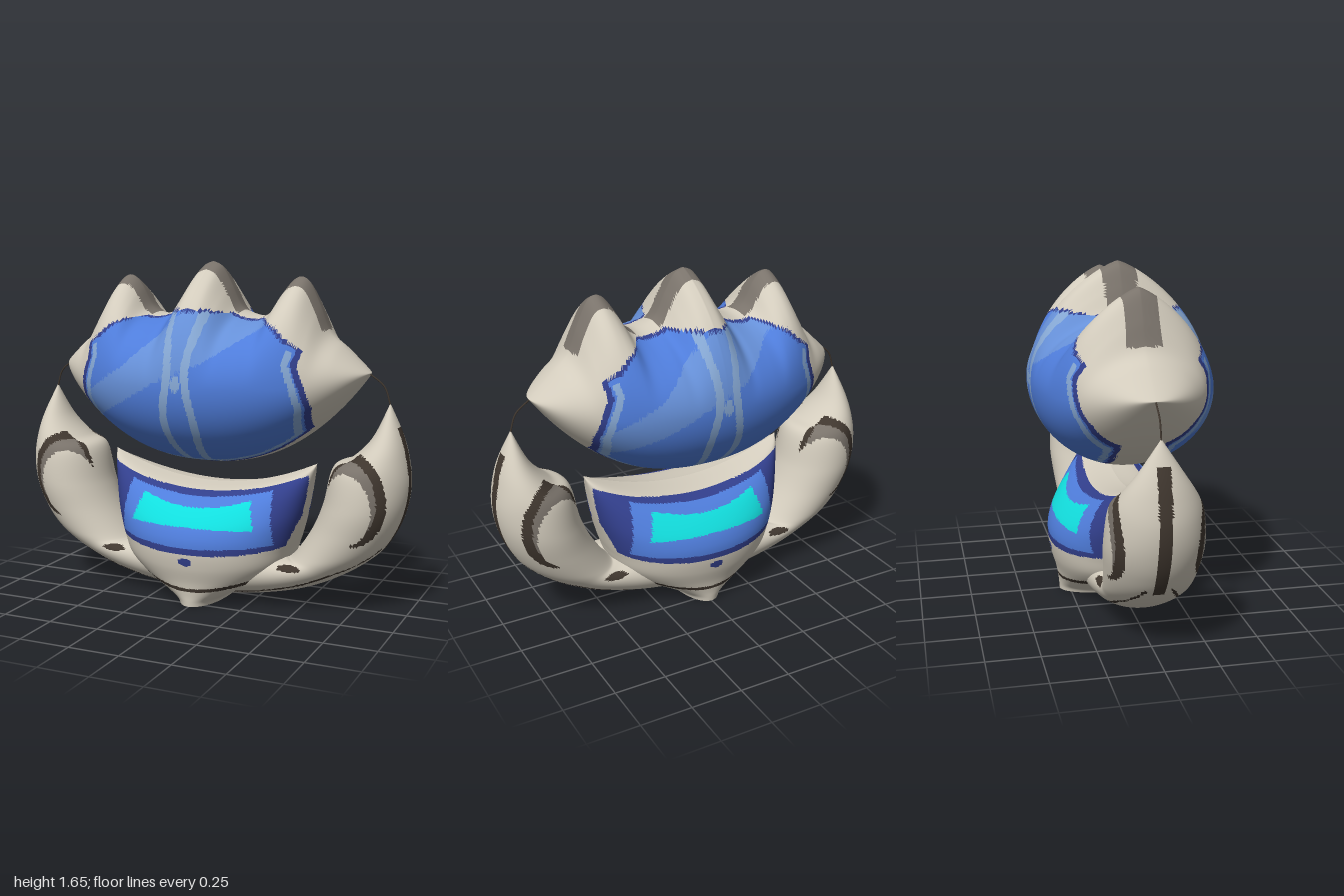
import * as THREE from 'three';

const COLORS = {
  cream: 0xd3ccbd, brown: 0x40372f, taupe: 0x7a736b, blue: 0x4f7ddb,
  skyBlue: 0x6690d8, paleBlue: 0x86a8d4, navy: 0x323f8c, cyan: 0x12dede,
};
const NAMES = Object.keys(COLORS);
const { abs, sin, cos, sign, PI } = Math;
const power = (v, e) => sign(v) * Math.pow(abs(v), e);
const inOval = (x, y, cx, cy, rx, ry) => ((x - cx) / rx) ** 2 + ((y - cy) / ry) ** 2 < 1;

// Smooth interpolation through rows of numbers, t from 0 to 1
function spline(rows, t) {
  const n = rows.length - 1, f = Math.min(t * n, n - 1e-9), i = Math.floor(f), s = f - i;
  const at = (j, k) => rows[Math.max(0, Math.min(n, i + j))][k];
  return rows[0].map((_, k) => {
    const a = at(-1, k), b = at(0, k), c = at(1, k), d = at(2, k);
    return b + 0.5 * s * (c - a + s * (2 * a - 5 * b + 4 * c - d + s * (3 * (b - c) + d - a)));
  });
}

// Piecewise linear lookup in a table of [key, value]
function lookup(table, key) {
  for (let i = 1; i < table.length; i++) {
    const [k0, v0] = table[i - 1], [k1, v1] = table[i];
    if (key <= k1) return v0 + (v1 - v0) * Math.max(0, (key - k0) / (k1 - k0));
  }
  return table[table.length - 1][1];
}

// Skin over closed rings; paint(x, y, z) names the colour of each face
function loft(name, materials, nu, nv, point, paint) {
  const pos = [], buckets = NAMES.map(() => []);
  for (let i = 0; i <= nu; i++)
    for (let j = 0; j < nv; j++) pos.push(...point(i / nu, (j / nv) * 2 * PI));
  const mid = (ids, k) => ids.reduce((sum, v) => sum + pos[v * 3 + k], 0) / ids.length;
  for (let i = 0; i < nu; i++)
    for (let j = 0; j < nv; j++) {
      const k = (j + 1) % nv;
      const a = i * nv + j, b = a + nv, c = (i + 1) * nv + k, d = i * nv + k;
      for (const tri of [[a, b, c], [a, c, d]]) {
        const color = paint(mid(tri, 0), mid(tri, 1), mid(tri, 2));
        buckets[NAMES.indexOf(color)].push(...tri);
      }
    }
  const geo = new THREE.BufferGeometry();
  geo.setAttribute('position', new THREE.Float32BufferAttribute(pos, 3));
  geo.setIndex(buckets.flat());
  let start = 0;
  buckets.forEach((b, m) => {
    if (b.length) geo.addGroup(start, b.length, m);
    start += b.length;
  });
  geo.computeVertexNormals();
  const mesh = new THREE.Mesh(geo, materials);
  mesh.name = name;
  return mesh;
}

// Upper shell: x, top edge, roundness of the section
const SHELL = [
  [0, 1.655, 1.6], [0.05, 1.63, 1.6], [0.1, 1.545, 1.55], [0.15, 1.445, 1.4], [0.2, 1.41, 1.15],
  [0.27, 1.4, 1.1], [0.33, 1.435, 1.3], [0.38, 1.525, 1.5], [0.42, 1.573, 1.6], [0.46, 1.585, 1.6],
  [0.5, 1.555, 1.6], [0.55, 1.45, 1.5], [0.6, 1.33, 1.3], [0.67, 1.265, 1.2], [0.74, 1.2, 1.2], [0.8, 1.145, 1.2],
];
// Half-width of the blue dome by height
const DOME = [
  [0.6, 0.5], [0.85, 0.55], [0.92, 0.57], [1, 0.59], [1.1, 0.57], [1.2, 0.535], [1.26, 0.55],
  [1.3, 0.49], [1.36, 0.42], [1.385, 0.36], [1.4, 0.26], [1.42, 0.13], [1.435, 0.08], [1.44, -1],
];

function shellPoint(u, angle) {
  const side = u < 0.5 ? -1 : 1;
  const [x, top, e] = spline(SHELL, abs(u * 2 - 1));
  const r = Math.min(1, x / 0.8);
  const mid = 1.08 + 0.065 * r ** 3, bottom = 0.68 + 0.465 * r ** 2.38;
  const depth = 0.44 * (1 - r * r) ** 0.6, s = sin(angle), c = cos(angle);
  const y = mid + s * (s > 0 ? top - mid : mid - bottom);
  return [side * x, y, depth * power(c, s > 0 ? e : 1)];
}

function shellPaint(x, y, z) {
  const ax = abs(x), az = abs(z), s = x * (z < 0 ? -1 : 1);
  const edge = Math.min(lookup(DOME, y) - ax, az - 0.1);
  if (edge < 0) {
    const onBump = ax < 0.17 || (ax > 0.29 && ax < 0.6);
    return onBump && y > 1.34 && az < 0.08 ? 'taupe' : 'cream';
  }
  if (edge < 0.025 || y > 1.425) return 'navy';
  if (edge > 0.035 && edge < 0.065 && y < 1.26) return 'paleBlue';
  const wave = 0.06 + 0.015 * cos((y - 0.9) * 12);
  if (abs(ax - wave) < 0.02 || inOval(x, y, 0, 1.1, 0.025, 0.035)) return 'paleBlue';
  const low = lookup([[-0.55, 0.88], [-0.3, 1], [-0.1, 1.11], [0.12, 1.2], [0.37, 1.38]], s);
  const high = lookup([[-0.55, 1.02], [-0.3, 1.17], [-0.1, 1.36], [0, 1.45]], s);
  return y > low && y < high ? 'skyBlue' : 'blue';
}

// Crescent with raised arms: outer x, y, inner x, y, half depth
const ARM = [
  [0.895, 1.01, 0.894, 1.01, 0], [0.955, 0.87, 0.82, 0.85, 0.1], [0.985, 0.76, 0.725, 0.75, 0.17],
  [1, 0.64, 0.635, 0.7, 0.21], [0.985, 0.52, 0.59, 0.52, 0.225], [0.94, 0.4, 0.53, 0.38, 0.215],
  [0.86, 0.29, 0.44, 0.25, 0.2], [0.7, 0.175, 0.4, 0.25, 0.19], [0.5, 0.085, 0.3, 0.28, 0.2],
  [0.25, 0.03, 0.15, 0.3, 0.22],
];
const CRESCENT = [
  ...ARM.map(([a, b, c, d, e]) => [-a, b, -c, d, e]), [0, 0.01, 0, 0.3, 0.22], ...[...ARM].reverse(),
];

function crescentPoint(u, angle) {
  const [ox, oy, ix, iy, d] = spline(CRESCENT, u);
  const t = (1 + sin(angle)) / 2;
  return [ox + (ix - ox) * t, oy + (iy - oy) * t, d * cos(angle)];
}

function crescentPaint(x, y, z) {
  const ax = abs(x), az = abs(z);
  if (az < 0.03 && y > 0.3 && y < 0.9 && ax > (y < 0.45 ? 0.84 : 0.91)) return 'brown';
  if (az > 0.1) {
    if (inOval(ax, y, 0.745, 0.53, 0.125, 0.165)) return 'cream';
    if (inOval(ax, y, 0.765, 0.57, 0.125, 0.175)) return 'taupe';
    if (inOval(ax, y, 0.78, 0.57, 0.15, 0.21)) return 'brown';
    if (inOval(ax, y, 0.47, 0.215, 0.06, 0.015)) return 'brown';
  }
  // Line along the underside
  const line = lookup([[0, 0.15], [0.2, 0.14], [0.33, 0.06]], y);
  const outside = y < 0.33 && y < 0.06 + 0.42 * ax * ax;
  return outside && abs(az - line) < 0.008 ? 'brown' : 'cream';
}

// Belly: height, half width, half depth
const BELLY = [
  [0, 0.11, 0.3], [0.025, 0.13, 0.302], [0.06, 0.2, 0.305], [0.12, 0.32, 0.315], [0.2, 0.41, 0.338],
  [0.28, 0.445, 0.35], [0.35, 0.47, 0.344], [0.42, 0.495, 0.31], [0.5, 0.52, 0.235],
  [0.55, 0.537, 0.14], [0.57, 0.545, 0],
];

function bellyPoint(u, angle) {
  const [y, w, d] = spline(BELLY, u);
  const x = w * cos(angle);
  return [x, y + 0.13 * (x / 0.55) ** 2 * (y / 0.57) ** 3, d * power(sin(angle), 0.8)];
}

function bellyPaint(x, y, z) {
  const ax = abs(x), q = x * x;
  if (abs(z) < 0.05) return 'cream';
  if (ax < 0.32 - 0.3 * (y - 0.4) && y > 0.4 && y < 0.485 + 0.6 * q) return 'cyan';
  const top = 0.55 + 0.36 * q;
  if (ax < 0.4 - 0.1 * (y - 0.33) && y > 0.305 + 0.15 * q && y < top - 0.02) return 'blue';
  if (ax < 0.3 + 0.4 * (y - 0.1) + 0.05 && y > 0.272 + 0.2 * q && y < top) return 'navy';
  if (inOval(x, y, 0, 0.235, 0.035, 0.02)) return 'navy';
  return ax < 0.4 && abs(y - 0.085 - 0.6 * q) < 0.009 ? 'brown' : 'cream';
}

export function createModel() {
  const materials = NAMES.map((name) => {
    const m = new THREE.MeshStandardMaterial({ color: COLORS[name], side: THREE.DoubleSide });
    m.name = name;
    return m;
  });
  const model = new THREE.Group();
  model.name = 'crestedShell';
  model.add(
    loft('upperShell', materials, 220, 120, shellPoint, shellPaint),
    loft('crescentArms', materials, 180, 96, crescentPoint, crescentPaint),
    loft('belly', materials, 120, 160, bellyPoint, bellyPaint),
  );
  // Thin strands joining the arm tips to the shell tips
  for (const s of [-1, 1]) {
    const path = new THREE.CatmullRomCurve3([
      new THREE.Vector3(s * 0.895, 1, 0), new THREE.Vector3(s * 0.865, 1.085, 0), new THREE.Vector3(s * 0.79, 1.145, 0),
    ]);
    const strand = new THREE.Mesh(new THREE.TubeGeometry(path, 12, 0.004, 6), materials[NAMES.indexOf('brown')]);
    strand.name = s > 0 ? 'leftStrand' : 'rightStrand';
    model.add(strand);
  }
  return model;
}
